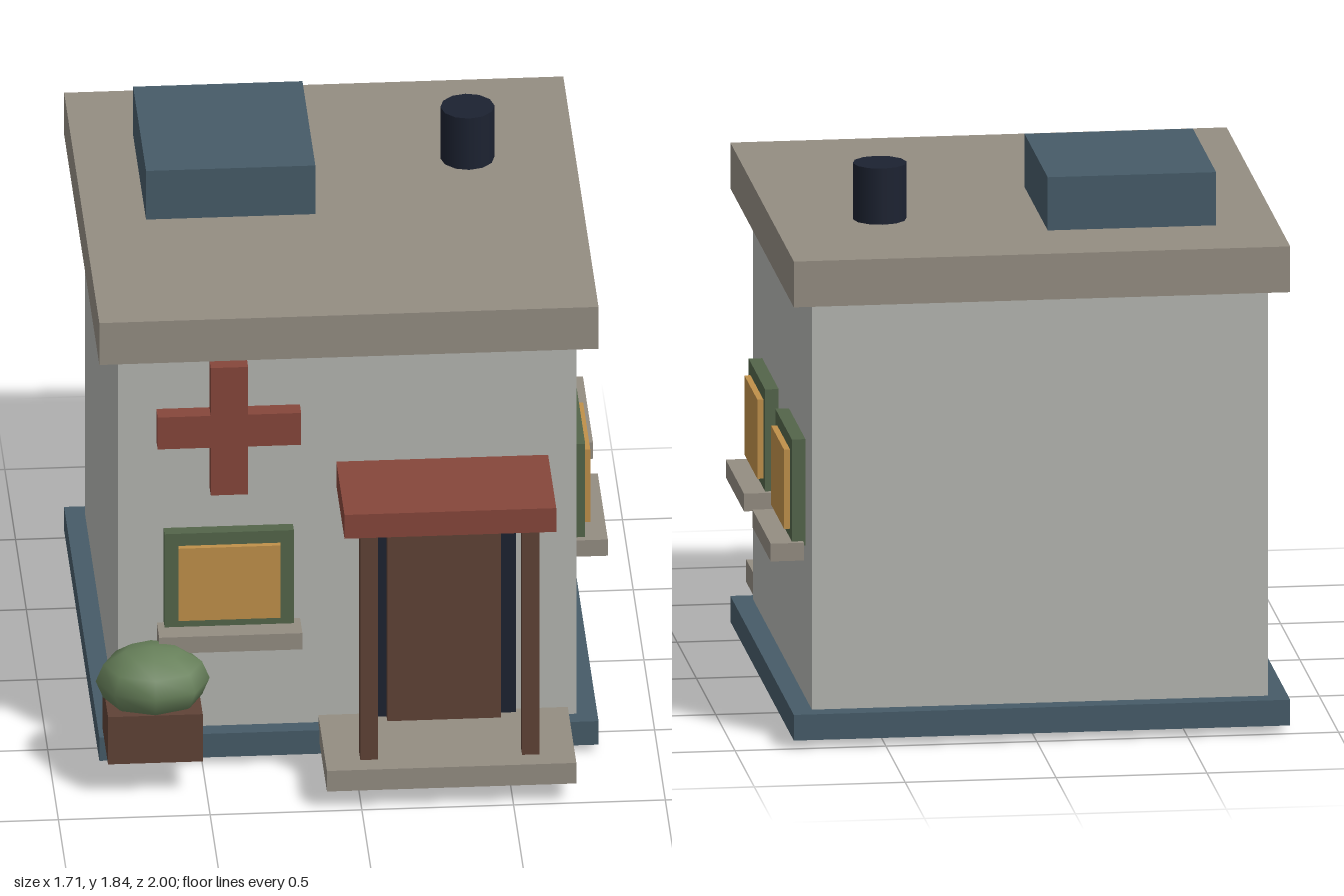
import * as THREE from 'three';

const COLORS = {
  wall: 0xb4b6b1, stone: 0x948d82, slate: 0x465b68, red: 0x86463b, wood: 0x5f4236,
  dark: 0x1c2231, green: 0x53654a, glass: 0xc0904a, leaf: 0x67805a,
};
const materials = {};
for (const key in COLORS) materials[key] = new THREE.MeshStandardMaterial({ color: COLORS[key] });

function addMesh(parent, name, geometry, color) {
  const mesh = new THREE.Mesh(geometry, materials[color]);
  mesh.name = name;
  parent.add(mesh);
  return mesh;
}

// Box given by its extents along each axis
function addBox(parent, name, color, [x0, x1], [y0, y1], [z0, z1]) {
  const mesh = addMesh(parent, name, new THREE.BoxGeometry(x1 - x0, y1 - y0, z1 - z0), color);
  mesh.position.set((x0 + x1) / 2, (y0 + y1) / 2, (z0 + z1) / 2);
  return mesh;
}

// Window facing +z; the wall plane is z = 0 and the frame centre is the origin
function createWindow(name) {
  const group = new THREE.Group();
  group.name = name;
  addBox(group, 'windowFrame', 'green', [-0.213, 0.213], [-0.18, 0.18], [-0.01, 0.045]);
  addBox(group, 'windowPane', 'glass', [-0.168, 0.168], [-0.133, 0.135], [0, 0.065]);
  addBox(group, 'windowSill', 'stone', [-0.236, 0.236], [-0.225, -0.165], [0.008, 0.118]);
  return group;
}

export function createModel() {
  const model = new THREE.Group();
  model.name = 'clinic';

  // Main block
  addBox(model, 'foundation', 'slate', [-0.84, 0.805], [0.028, 0.115], [-1, 0.645]);
  addBox(model, 'walls', 'wall', [-0.775, 0.737], [0.1, 1.51], [-0.935, 0.587]);
  addBox(model, 'roofSlab', 'stone', [-0.84, 0.805], [1.495, 1.65], [-1, 0.645]);

  // Rooftop equipment
  addBox(model, 'roofUnit', 'slate', [-0.635, -0.077], [1.64, 1.83], [-0.682, -0.08]);
  const vent = addMesh(model, 'roofVent', new THREE.CylinderGeometry(0.089, 0.089, 0.2, 12), 'dark');
  vent.position.set(0.45, 1.74, -0.447);

  // Wall cross
  const cross = new THREE.Group();
  cross.name = 'wallCross';
  model.add(cross);
  addBox(cross, 'crossUpright', 'red', [-0.473, -0.35], [1.0, 1.472], [0.58, 0.649]);
  addBox(cross, 'crossBarLeft', 'red', [-0.35, -0.175], [1.177, 1.295], [0.58, 0.649]);
  addBox(cross, 'crossBarRight', 'red', [-0.648, -0.473], [1.177, 1.295], [0.58, 0.649]);

  // Entrance
  const entrance = new THREE.Group();
  entrance.name = 'entrance';
  model.add(entrance);
  addBox(entrance, 'step', 'stone', [-0.115, 0.707], [0.072, 0.148], [0.6, 1]);
  addBox(entrance, 'doorFrame', 'dark', [0.055, 0.535], [0, 1.03], [0.575, 0.625]);
  addBox(entrance, 'door', 'wood', [0.108, 0.482], [0.05, 1.0], [0.6, 0.66]);
  addBox(entrance, 'canopy', 'red', [-0.055, 0.643], [0.99, 1.078], [0.583, 0.968]);
  for (const x of [0.029, 0.562]) {
    addBox(entrance, 'canopyPost', 'wood', [x - 0.029, x + 0.029], [0.14, 1.0], [0.872, 0.93]);
  }

  // Windows: one on the front, two on the left side
  const front = createWindow('frontWindow');
  front.position.set(-0.411, 0.673, 0.587);
  model.add(front);
  for (const z of [0.137, -0.555]) {
    const side = createWindow('sideWindow');
    side.rotation.y = Math.PI / 2;
    side.position.set(0.737, 0.81, z);
    model.add(side);
  }

  // Planter with a rounded shrub
  addBox(model, 'planter', 'wood', [-0.827, -0.515], [0.13, 0.305], [0.61, 0.868]);
  const shrub = addMesh(model, 'shrub', new THREE.SphereGeometry(1, 8, 6), 'leaf');
  shrub.scale.set(0.188, 0.122, 0.155);
  shrub.position.set(-0.671, 0.373, 0.74);

  return model;
}
